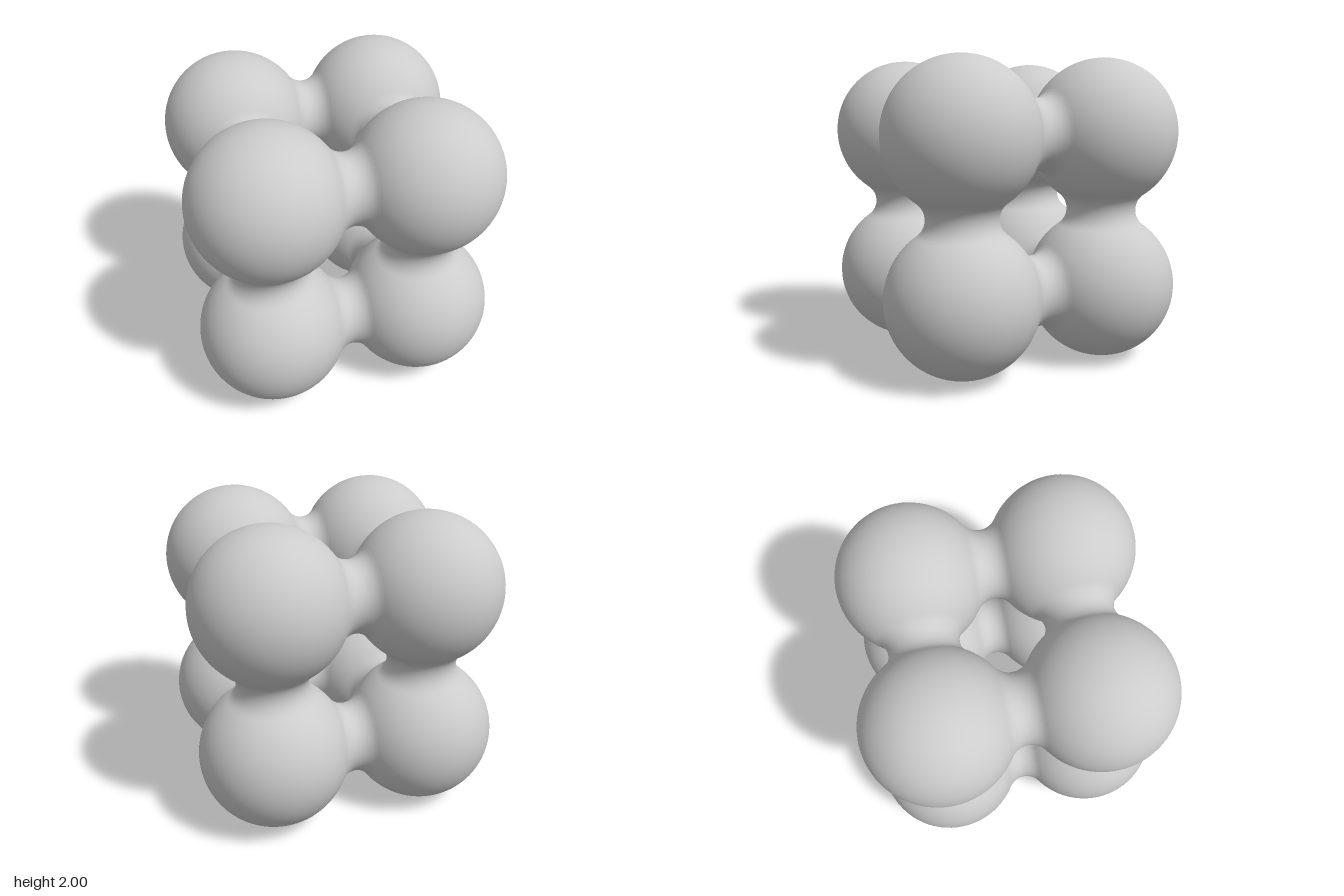
import * as THREE from 'three';

const OFFSET = 0.508;     // ball centre distance from each mid-plane
const RADIUS = 0.492;     // ball radius
const NECK = 0.23;        // thinnest radius of a neck
// Radius of the fillet arc that is tangent to both neighbouring balls
const FILLET = (OFFSET ** 2 + NECK ** 2 - RADIUS ** 2) / (2 * (RADIUS - NECK));

// Concave neck along y, blending tangentially into a ball at each end
function neckGeometry() {
  const reach = Math.atan2(OFFSET, NECK + FILLET);
  const points = [];
  const steps = 28;
  for (let i = 0; i <= steps; i++) {
    const a = reach * (2 * i / steps - 1);
    points.push(new THREE.Vector2(NECK + FILLET - FILLET * Math.cos(a), FILLET * Math.sin(a)));
  }
  // Tuck the rims just under the ball surface
  const tuck = Math.PI / 2 - reach + 0.05;
  const r = RADIUS * 0.997 * Math.sin(tuck);
  const y = OFFSET - RADIUS * 0.997 * Math.cos(tuck);
  points.unshift(new THREE.Vector2(r, -y));
  points.push(new THREE.Vector2(r, y));
  return new THREE.LatheGeometry(points, 64);
}

export function createModel() {
  const model = new THREE.Group();
  model.name = 'ballCluster';
  const material = new THREE.MeshStandardMaterial({ color: 0xcccccc });
  const ball = new THREE.SphereGeometry(RADIUS, 72, 48);
  const neck = neckGeometry();
  const signs = [-1, 1];

  const add = (geometry, name, position) => {
    const mesh = new THREE.Mesh(geometry, material);
    mesh.name = name;
    mesh.position.set(...position);
    mesh.position.y += 1;
    model.add(mesh);
    return mesh;
  };

  // Eight balls at the corners of a cube
  for (const x of signs) for (const y of signs) for (const z of signs) {
    const name = (y > 0 ? 'upper' : 'lower') + (z > 0 ? 'Front' : 'Back') + (x > 0 ? 'Left' : 'Right') + 'Ball';
    add(ball, name, [x * OFFSET, y * OFFSET, z * OFFSET]);
  }

  // Twelve necks, one on each edge of the cube
  for (const a of signs) for (const b of signs) {
    const u = a * OFFSET, v = b * OFFSET;
    add(neck, 'crossNeck', [0, u, v]).rotation.z = Math.PI / 2;
    add(neck, 'uprightNeck', [u, 0, v]);
    add(neck, 'depthNeck', [u, v, 0]).rotation.x = Math.PI / 2;
  }
  return model;
}
